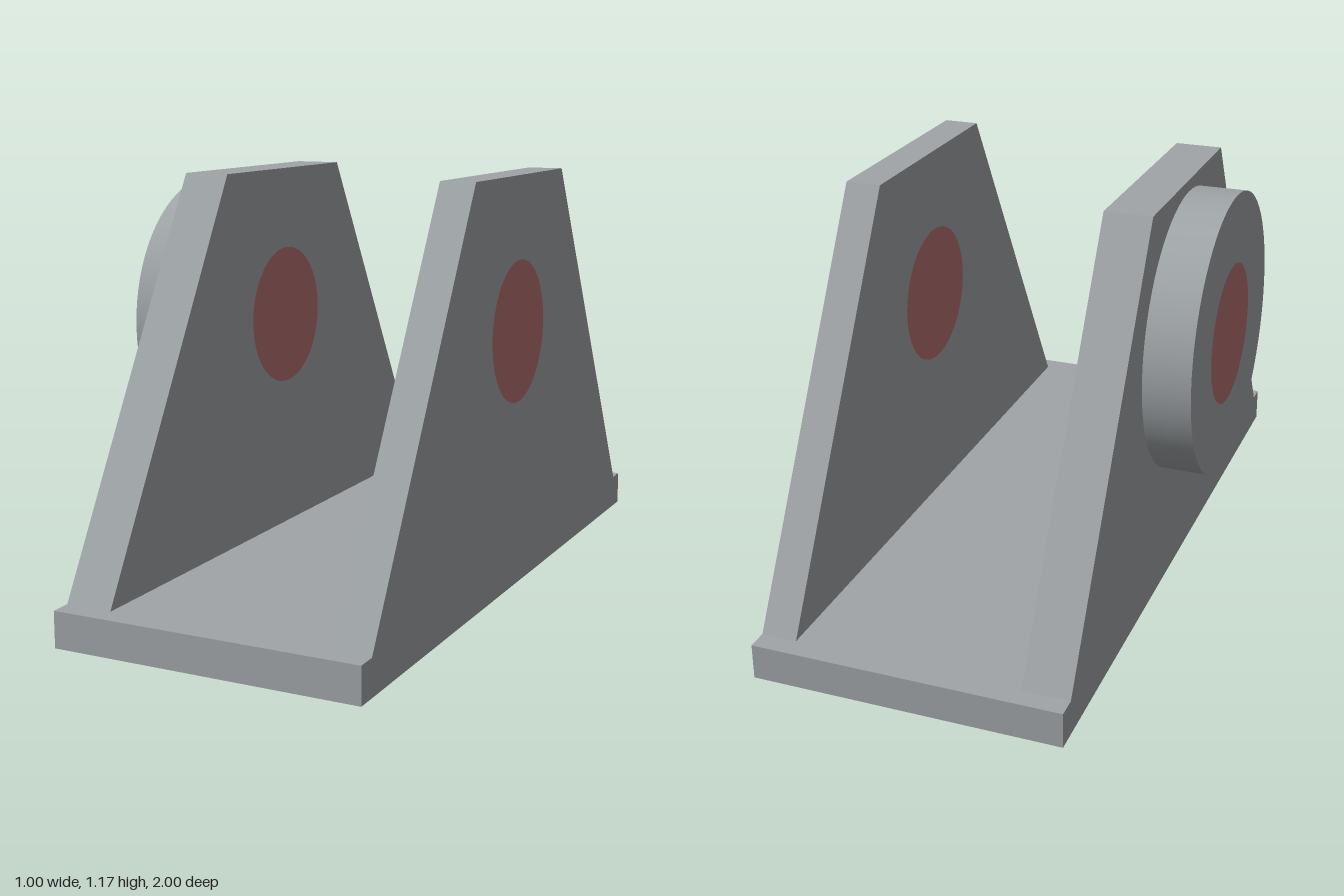
import * as THREE from 'three';
import { toCreasedNormals } from 'three/addons/utils/BufferGeometryUtils.js';

const PIN_Y = 0.734, PIN_R = 0.2;

export function createModel() {
  const model = new THREE.Group();
  model.name = 'clevisBracket';

  const steel = new THREE.MeshStandardMaterial({ color: 0xa0a5a8 });
  steel.name = 'steel grey';
  const red = new THREE.MeshStandardMaterial({ color: 0xb87070 });
  red.name = 'dull red';

  const add = (name, geometry, material) => {
    const mesh = new THREE.Mesh(geometry, material);
    mesh.name = name;
    model.add(mesh);
  };

  // Extrude a side profile along x, from x0 to x1
  const slab = (shape, x0, x1) => {
    const g = new THREE.ExtrudeGeometry(shape, { depth: x1 - x0, bevelEnabled: false, curveSegments: 36 });
    g.rotateY(Math.PI / 2).translate(x0, 0, 0);
    return toCreasedNormals(g, 0.6);
  };

  const circle = (radius) => new THREE.Shape().absarc(0, PIN_Y, radius, 0, Math.PI * 2, false);
  const pinHole = () => new THREE.Path().absarc(0, PIN_Y, PIN_R, 0, Math.PI * 2, true);

  // Base plate
  const base = new THREE.BoxGeometry(0.867, 0.1, 2);
  base.translate(0.0665, 0.05, 0);
  add('basePlate', base, steel);

  // Tapered side plates, bored for the pin
  const cheek = new THREE.Shape([
    new THREE.Vector2(-0.943, 0.1), new THREE.Vector2(0.943, 0.1),
    new THREE.Vector2(0.333, 1.167), new THREE.Vector2(-0.333, 1.167),
  ]);
  cheek.holes.push(pinHole());
  add('rightCheek', slab(cheek, -0.367, -0.234), steel);
  add('leftCheek', slab(cheek, 0.4, 0.5), steel);

  // Round boss on the outside of the thicker cheek
  const boss = circle(0.4);
  boss.holes.push(pinHole());
  add('boss', slab(boss, -0.5, -0.367), steel);

  // Pin faces, flush with the bores
  add('rightPin', slab(circle(PIN_R), -0.5, -0.234), red);
  add('leftPin', slab(circle(PIN_R), 0.4, 0.5), red);

  return model;
}
